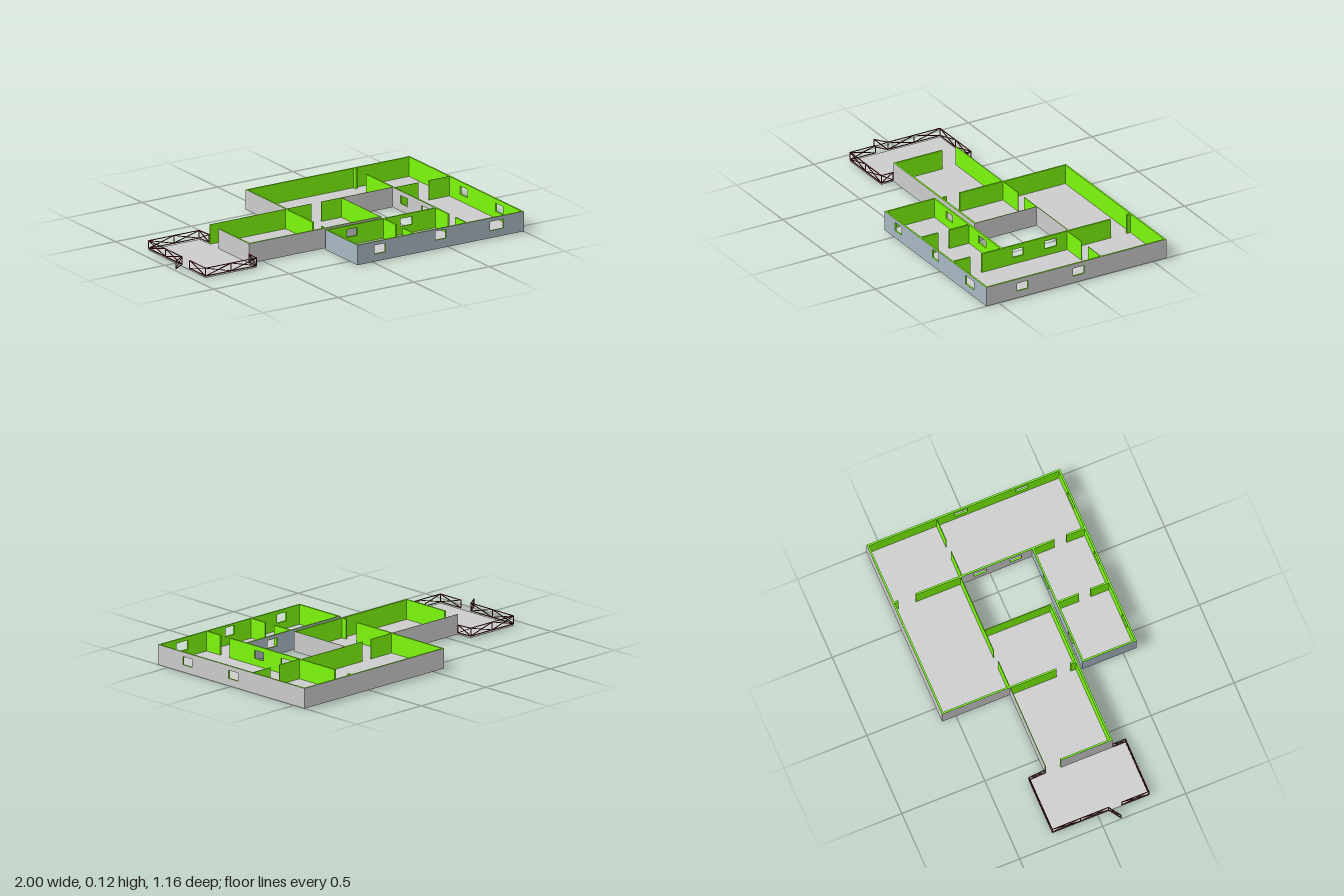
import * as THREE from 'three';

const H = 0.117, BASE = 0.0005, THICK = 0.01, THIN = 0.004;
const mat = (color, extra = {}) => new THREE.MeshStandardMaterial({ color, ...extra });

export function createModel() {
  const model = new THREE.Group();
  const grey = mat(0xcccccc), slate = mat(0xa8b8c2), green = mat(0x7cf80c), iron = mat(0x5a1414);

  function add(name, geometry, material, parent = model) {
    const mesh = new THREE.Mesh(geometry, material);
    mesh.name = name;
    parent.add(mesh);
    return mesh;
  }

  // Wall from a to b. Its outer side lies to the right of the walking direction seen from above.
  // Windows are [from, to, sill, head], with from and to as world coordinates along the wall.
  function wall(name, [ax, az], [bx, bz], { skin = null, t = THICK, windows = [] } = {}) {
    const length = Math.hypot(bx - ax, bz - az);
    const start = Math.abs(bx - ax) > Math.abs(bz - az) ? ax : az;
    const shape = new THREE.Shape();
    shape.moveTo(0, BASE).lineTo(length, BASE).lineTo(length, H).lineTo(0, H).closePath();
    for (const [from, to, y0, y1] of windows) {
      const s = [Math.abs(from - start), Math.abs(to - start)].sort((p, q) => p - q);
      const hole = new THREE.Path();
      hole.moveTo(s[0], y0).lineTo(s[0], y1).lineTo(s[1], y1).lineTo(s[1], y0).closePath();
      shape.holes.push(hole);
    }
    const group = new THREE.Group();
    group.name = name;
    group.position.set(ax, 0, az);
    group.rotation.y = Math.atan2(-(bz - az), bx - ax);
    const body = new THREE.ExtrudeGeometry(shape, { depth: t, bevelEnabled: false });
    body.translate(0, 0, skin ? -t : -t / 2);
    add(name + 'Body', body, green, group);
    if (skin) add(name + 'OuterFace', new THREE.ShapeGeometry(shape).translate(0, 0, 0.0006), skin, group);
    model.add(group);
  }

  // Floors: [x0, x1, z0, z1], with a slate underside
  const floors = {
    terraceFloor: [-0.93, -0.59, -0.275, 0.31],
    hallFloor: [-0.59, 0.285, -0.175, 0.225],
    backRoomFloor: [-0.085, 0.625, -0.58, -0.175],
    sideRoomFloor: [0.625, 0.997, -0.58, 0.577],
    frontRoomFloor: [-0.1, 0.625, 0.255, 0.577],
  };
  for (const [name, [x0, x1, z0, z1]] of Object.entries(floors)) {
    const w = x1 - x0, d = z1 - z0, cx = (x0 + x1) / 2, cz = (z0 + z1) / 2;
    add(name, new THREE.BoxGeometry(w, 0.002, d), grey).position.set(cx, 0.0015, cz);
    const under = add(name + 'Underside', new THREE.PlaneGeometry(w, d), slate);
    under.rotation.x = Math.PI / 2;
    under.position.set(cx, 0, cz);
  }

  // Outer walls
  wall('frontWall', [-0.1, 0.58], [1, 0.58], { skin: slate, windows: [
    [0.013, 0.085, 0.045, 0.096], [0.415, 0.485, 0.053, 0.105], [0.775, 0.865, 0.043, 0.096]] });
  wall('rightWall', [1, 0.58], [1, -0.583], { skin: grey, windows: [
    [0.383, 0.31, 0.043, 0.091], [0.02, -0.055, 0.043, 0.091]] });
  wall('backWall', [1, -0.583], [-0.085, -0.583], { skin: grey });
  wall('backRoomEndWall', [-0.085, -0.583], [-0.085, -0.175], { skin: grey });
  wall('frontRoomEndWall', [-0.1, 0.255], [-0.1, 0.58], { skin: slate });
  wall('frontRoomBackWall', [0.63, 0.255], [-0.1, 0.255], { skin: slate, windows: [
    [0.035, 0.105, 0.05, 0.096], [0.39, 0.468, 0.05, 0.096]] });

  // Hall walls
  wall('hallFrontWall', [-0.59, 0.23], [0.285, 0.23], { skin: grey });
  wall('hallBackWall', [-0.085, -0.175], [-0.59, -0.175], { skin: grey, t: THIN });
  wall('hallEntranceWall', [-0.59, -0.08], [-0.59, 0.23], { skin: grey });
  wall('hallEndWall', [0.285, 0.23], [0.285, -0.175], { skin: grey, t: THIN });

  // Courtyard walls
  wall('courtBackWall', [0.285, -0.173], [0.625, -0.173], { skin: grey, t: THIN });
  wall('courtSideWall', [0.622, -0.175], [0.622, 0.255], { skin: grey, windows: [
    [-0.095, -0.02, 0.043, 0.091], [0.12, 0.19, 0.043, 0.091]] });

  // Partitions, with doorways left as full-height gaps
  const partitions = [
    [[0.627, -0.583], [0.627, -0.55]], [[0.627, -0.445], [0.627, -0.175]],
    [[0.627, 0.255], [0.627, 0.39]], [[0.627, 0.462], [0.627, 0.575]],
    [[0.28, 0.255], [0.28, 0.39]], [[0.28, 0.462], [0.28, 0.575]],
    [[-0.083, -0.175], [-0.083, 0.105]], [[-0.083, 0.19], [-0.083, 0.225]],
    [[-0.085, -0.174], [0.085, -0.174], THIN], [[0.15, -0.174], [0.285, -0.174], THIN],
    [[0.627, -0.165], [0.785, -0.165], THIN], [[0.855, -0.165], [0.997, -0.165], THIN],
  ];
  for (const [a, b, t] of partitions) wall('partition', a, b, { t });

  // Terrace railing: posts, two rails and crossed braces in each panel
  const LOW = 0.011, TOP = 0.056, BAR = 0.004;
  function bar(name, p, q, parent) {
    const a = new THREE.Vector3(...p), b = new THREE.Vector3(...q);
    const m = add(name, new THREE.BoxGeometry(BAR, BAR, a.distanceTo(b) + BAR * 0.5), iron, parent);
    m.position.copy(a).lerp(b, 0.5);
    m.lookAt(b);
  }
  function railing(name, [ax, az], [bx, bz], panels) {
    const group = new THREE.Group();
    group.name = name;
    const at = (i, y) => [ax + (bx - ax) * i / panels, y, az + (bz - az) * i / panels];
    for (const y of [LOW, TOP]) bar('rail', at(0, y), at(panels, y), group);
    for (let i = 0; i <= panels; i++) {
      bar('post', at(i, LOW), at(i, TOP), group);
      if (i === panels) break;
      bar('brace', at(i, LOW), at(i + 1, TOP), group);
      bar('brace', at(i, TOP), at(i + 1, LOW), group);
    }
    model.add(group);
  }
  railing('backRailing', [-0.928, -0.273], [-0.595, -0.273], 2);
  railing('backReturnRailing', [-0.595, -0.273], [-0.588, -0.18], 1);
  railing('outerRailing', [-0.928, -0.273], [-0.928, 0.065], 2);
  railing('outerShortRailing', [-0.928, 0.145], [-0.928, 0.308], 1);
  railing('frontRailing', [-0.928, 0.308], [-0.592, 0.308], 2);
  railing('frontReturnRailing', [-0.592, 0.308], [-0.592, 0.232], 1);
  railing('openGate', [-0.928, 0.065], [-0.998, 0.112], 1);

  return model;
}
